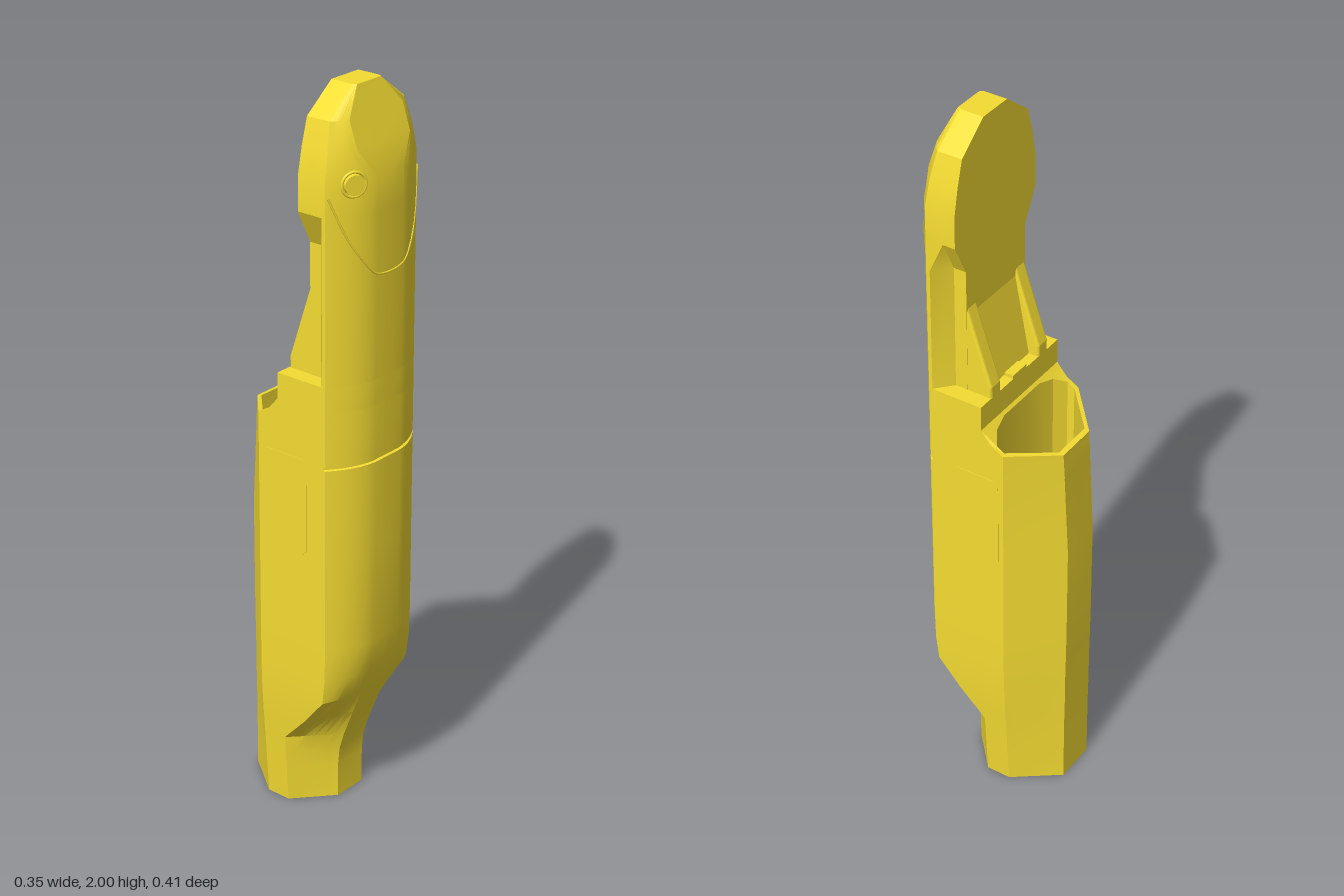
import * as THREE from 'three';
import { toCreasedNormals } from 'three/addons/utils/BufferGeometryUtils.js';

const material = new THREE.MeshStandardMaterial({ color: 0xf5dc32 });

function part(group, name, geometry) {
  const mesh = new THREE.Mesh(geometry, material);
  mesh.name = name;
  group.add(mesh);
  return mesh;
}

function fromTriangles(points) {
  const g = new THREE.BufferGeometry();
  g.setAttribute('position', new THREE.Float32BufferAttribute(points.flat(), 3));
  return toCreasedNormals(g, 0.4);
}

// Half outline [x, z] from front centre to back centre -> full ring, counterclockwise from above
function mirror(half) {
  return [...half, ...half.slice(1, -1).reverse().map(([x, z]) => [-x, z])];
}
const ringAt = (outline, y) =>
  outline.map(([x, z]) => [x, typeof y === 'function' ? y(z) : y, z]);

// Skin between successive rings; inward = true for cavities
function skin(out, rings, inward = false) {
  for (let k = 0; k < rings.length - 1; k++) {
    const n = rings[k].length;
    for (let i = 0; i < n; i++) {
      const j = (i + 1) % n;
      const a = rings[k][i], b = rings[k][j], c = rings[k + 1][i], d = rings[k + 1][j];
      if (inward) out.push(a, d, b, a, c, d);
      else out.push(a, b, d, a, d, c);
    }
  }
}

// Fill a ring, optionally leaving a hole
function cap(out, ring, up, hole = null) {
  const flat = (r) => r.map((p) => new THREE.Vector2(p[0], -p[2]));
  const all = hole ? [...ring, ...hole] : ring;
  for (const [a, b, c] of THREE.ShapeUtils.triangulateShape(flat(ring), hole ? [flat(hole)] : [])) {
    out.push(all[a], ...(up ? [all[b], all[c]] : [all[c], all[b]]));
  }
}

// Gently domed front, from the centre line to the side corner
function frontCurve(w, zf, zs, fw, bulge) {
  const pts = [[0, zf]];
  for (let i = 0; i <= 6; i++) {
    const t = i / 6;
    pts.push([fw + (w - fw) * t, zf + (zs - zf) * t + bulge * 4 * t * (1 - t)]);
  }
  return pts;
}

// Height of the rear rim, stepping up towards the neck
function rimY(z) {
  const p = [[-0.19, 1.11], [-0.08, 1.135], [-0.045, 1.155], [-0.015, 1.19]];
  for (let i = 0; i < 3; i++) {
    if (z < p[i + 1][0]) {
      const t = Math.max(0, (z - p[i][0]) / (p[i + 1][0] - p[i][0]));
      return p[i][1] + t * (p[i + 1][1] - p[i][1]);
    }
  }
  return 1.19;
}

function bodyGeometry() {
  // y, half width, front z, side corner z, back z, dome
  const rows = [
    [0, 0.15, 0.08, -0.01, -0.2, 0], [0.1, 0.157, 0.08, -0.01, -0.2, 0],
    [0.15, 0.16, 0.085, -0.01, -0.2, 0], [0.2, 0.164, 0.1, -0.01, -0.2, 0],
    [0.28, 0.17, 0.13, 0.065, -0.201, 0.003], [0.36, 0.174, 0.162, 0.13, -0.201, 0.008],
    [0.43, 0.175, 0.185, 0.138, -0.202, 0.011], [0.52, 0.175, 0.2, 0.14, -0.203, 0.012],
    [0.8, 0.175, 0.2, 0.14, -0.203, 0.012],
    // seam groove round the front
    [1.034, 0.175, 0.2, 0.14, -0.19, 0.012], [1.036, 0.175, 0.193, 0.133, -0.19, 0.012],
    [1.042, 0.175, 0.193, 0.133, -0.19, 0.012], [1.044, 0.175, 0.2, 0.14, -0.19, 0.012],
    [1.1, 0.175, 0.2, 0.14, -0.186, 0.012],
  ];
  const outline = ([, w, zf, zs, zb, dome]) => mirror([
    ...frontCurve(w, zf, zs, 0.05, dome),
    [w, -0.015], [w, -0.045], [w, -0.08], [0.06, zb], [0, zb],
  ].map(([x, z], i) => [x, i === 8 ? Math.min(z, zs - 0.002) : z]));
  const last = outline(rows[rows.length - 1]);
  const rings = rows.map((r) => ringAt(outline(r), r[0]));
  rings.push(ringAt(last, rimY));

  const cavity = mirror([[0, -0.022], [0.08, -0.022], [0.13, -0.032], [0.163, -0.055],
    [0.163, -0.076], [0.06, -0.172], [0, -0.172]]);
  const bore = Array.from({ length: 40 }, (_, i) => {
    const a = (i / 40) * Math.PI * 2;
    return [0.058 * Math.sin(a), -0.08 + 0.058 * Math.cos(a)];
  });
  const floorY = 0.45;
  const t = [];
  skin(t, rings);
  cap(t, rings[0], false, ringAt(bore, 0));
  cap(t, rings[rings.length - 1], true, ringAt(cavity, rimY));
  skin(t, [ringAt(cavity, floorY), ringAt(cavity, rimY)], true);
  cap(t, ringAt(cavity, floorY), true, ringAt(bore, floorY));
  skin(t, [ringAt(bore, 0), ringAt(bore, floorY)], true);
  return fromTriangles(t);
}

function neckBaseGeometry() {
  const o = mirror([...frontCurve(0.175, 0.2, 0.14, 0.05, 0.012), [0.175, -0.015], [0, -0.015]]);
  const t = [];
  skin(t, [ringAt(o, 1.19), ringAt(o, 1.26)]);
  cap(t, ringAt(o, 1.26), true);
  return fromTriangles(t);
}

function headGeometry() {
  // y, half width, front z, side corner z, front flat half width, back half width, dome
  const rows = [
    [1.26, 0.175, 0.2, 0.14, 0.05, 0.13, 0.012], [1.61, 0.175, 0.2, 0.14, 0.05, 0.13, 0.012],
    [1.7, 0.175, 0.2, 0.14, 0.05, 0.175, 0.012], [1.79, 0.174, 0.2, 0.14, 0.05, 0.174, 0.012],
    [1.86, 0.16, 0.177, 0.135, 0.1, 0.16, 0.004], [1.93, 0.14, 0.153, 0.125, 0.1, 0.14, 0.002],
    [2.0, 0.05, 0.13, 0.12, 0.045, 0.05, 0],
  ];
  const rings = rows.map(([y, w, zf, zs, fw, b, dome]) => ringAt(mirror([
    ...frontCurve(w, zf, zs, fw, dome),
    [w, Math.min(0.13, zs - 0.004)], [b, 0.09], [b, 0.055], [0, 0.055],
  ]), y));
  const t = [];
  skin(t, rings);
  cap(t, rings[0], false);
  cap(t, rings[rings.length - 1], true);
  return fromTriangles(t);
}

// Side profile [z, y] extruded across x
function acrossX(points, x0, x1, bevel = 0) {
  const shape = new THREE.Shape(points.map(([z, y]) => new THREE.Vector2(-z, y)));
  const g = new THREE.ExtrudeGeometry(shape, {
    depth: x1 - x0 - 2 * bevel, bevelEnabled: bevel > 0, bevelSize: bevel,
    bevelThickness: bevel, bevelOffset: -bevel, bevelSegments: 3,
  });
  return g.rotateY(Math.PI / 2).translate(x0 + bevel, 0, 0);
}

export function createModel() {
  const model = new THREE.Group();
  model.name = 'holder';
  part(model, 'body', bodyGeometry());
  part(model, 'neckBase', neckBaseGeometry());
  part(model, 'head', headGeometry());

  // Sloping ribs with a recessed panel between them
  const rib = [[0.07, 1.25], [0.07, 1.54], [0.055, 1.5], [-0.015, 1.29], [-0.015, 1.25]];
  part(model, 'leftRib', acrossX(rib, 0.085, 0.129, 0.007));
  part(model, 'rightRib', acrossX(rib, -0.129, -0.085, 0.007));
  part(model, 'recessPanel',
    acrossX([[0.07, 1.25], [0.07, 1.5], [0.055, 1.48], [0.012, 1.25]], -0.09, 0.09));
  part(model, 'latch', new THREE.BoxGeometry(0.06, 0.012, 0.026).translate(0, 1.264, -0.002));

  // Rounded side panels, barely proud of the body
  const r = 0.015, z0 = -0.065, z1 = 0.08, y0 = 0.775, y1 = 1.045;
  const panel = [[z1, y0 + r], [z1 - r, y0], [z0 + r, y0], [z0, y0 + r],
    [z0, y1 - r], [z0 + r, y1], [z1 - r, y1], [z1, y1 - r]].reverse();
  part(model, 'leftSidePanel', acrossX(panel, 0.17, 0.1765));
  part(model, 'rightSidePanel', acrossX(panel, -0.1765, -0.17));

  // Curved seam below the head
  const half = [[0.17, 1.75, 0.145], [0.13, 1.645, 0.172], [0.09, 1.58, 0.191], [0.05, 1.54, 0.199]];
  const path = [...half, ...half.slice().reverse().map(([x, y, z]) => [-x, y, z])];
  const curve = new THREE.CatmullRomCurve3(path.map((p) => new THREE.Vector3(...p)));
  part(model, 'headSeam', new THREE.TubeGeometry(curve, 48, 0.003, 6));

  // Button with its collar
  const button = new THREE.Group();
  button.name = 'button';
  part(button, 'buttonCap', new THREE.CylinderGeometry(0.026, 0.028, 0.02, 28).rotateX(Math.PI / 2));
  part(button, 'buttonCollar', new THREE.TorusGeometry(0.031, 0.004, 8, 32));
  button.position.set(-0.115, 1.78, 0.18);
  button.rotation.y = -0.5;
  model.add(button);

  return model;
}
